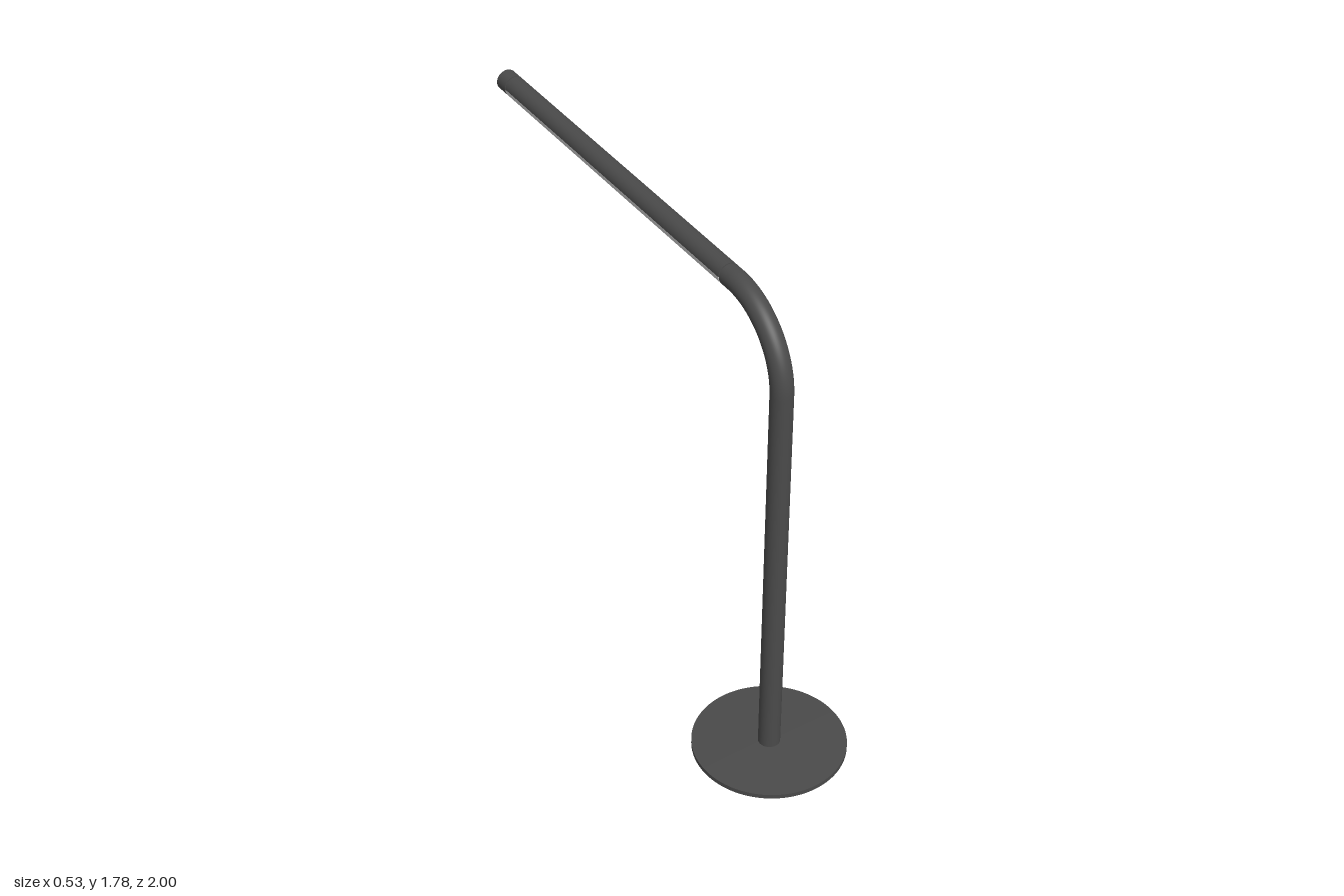
import * as THREE from 'three';

const dark = new THREE.MeshStandardMaterial({ color: 0x4a4a4a });
const pale = new THREE.MeshStandardMaterial({ color: 0xc4c4c4 });

const R = 0.038;        // tube radius
const ARM_Y = 1.74;     // height of the arm's axis
const POST_Z = 0.735;   // post and base centre
const BEND = 0.27;      // bend radius
const BASE_T = 0.016;   // base thickness
const SEAM = 0.004;     // groove between sections

export function createModel() {
  const group = new THREE.Group();

  const add = (name, geometry, material = dark) => {
    const mesh = new THREE.Mesh(geometry, material);
    mesh.name = name;
    group.add(mesh);
    return mesh;
  };

  // Tube section lying along z at arm height, from zFront back to zBack
  const alongZ = (name, radius, zFront, zBack, material = dark, open = false, start = 0, sweep = Math.PI * 2) => {
    const g = new THREE.CylinderGeometry(radius, radius, zFront - zBack, 48, 1, open, start, sweep);
    g.rotateX(Math.PI / 2);
    return add(name, g, material).position.set(0, ARM_Y, (zFront + zBack) / 2);
  };

  // Thin round base with a central hole for the post
  const disc = new THREE.Shape().absarc(0, 0, 0.265, 0, Math.PI * 2);
  disc.holes.push(new THREE.Path().absarc(0, 0, R - 0.001, 0, Math.PI * 2, true));
  const baseGeo = new THREE.ExtrudeGeometry(disc, { depth: BASE_T, bevelEnabled: false, curveSegments: 64 });
  baseGeo.rotateX(-Math.PI / 2);
  add('base', baseGeo).position.z = POST_Z;

  // Upright post, its foot slightly recessed in the base
  const postBottom = 0.006, postTop = ARM_Y - BEND;
  add('post', new THREE.CylinderGeometry(R, R, postTop - postBottom, 48))
    .position.set(0, (postTop + postBottom) / 2, POST_Z);

  // Quarter bend from post to arm
  const bendGeo = new THREE.TorusGeometry(BEND, R, 48, 40, Math.PI / 2);
  bendGeo.rotateY(-Math.PI / 2);
  add('bend', bendGeo).position.set(0, postTop, POST_Z - BEND);

  // Arm: collar, lamp head (upper housing, lower diffuser) and end cap
  const lampFront = 0.425, lampBack = -0.94;
  alongZ('collar', R, POST_Z - BEND, lampFront + SEAM);
  alongZ('core', R - 0.004, lampFront + 0.02, lampBack - 0.02);
  alongZ('lampHousing', R, lampFront, lampBack, dark, false, Math.PI / 2, Math.PI);
  alongZ('diffuser', R, lampFront, lampBack, pale, false, -Math.PI / 2, Math.PI);
  alongZ('endCap', R, lampBack - SEAM, -1);

  return group;
}
